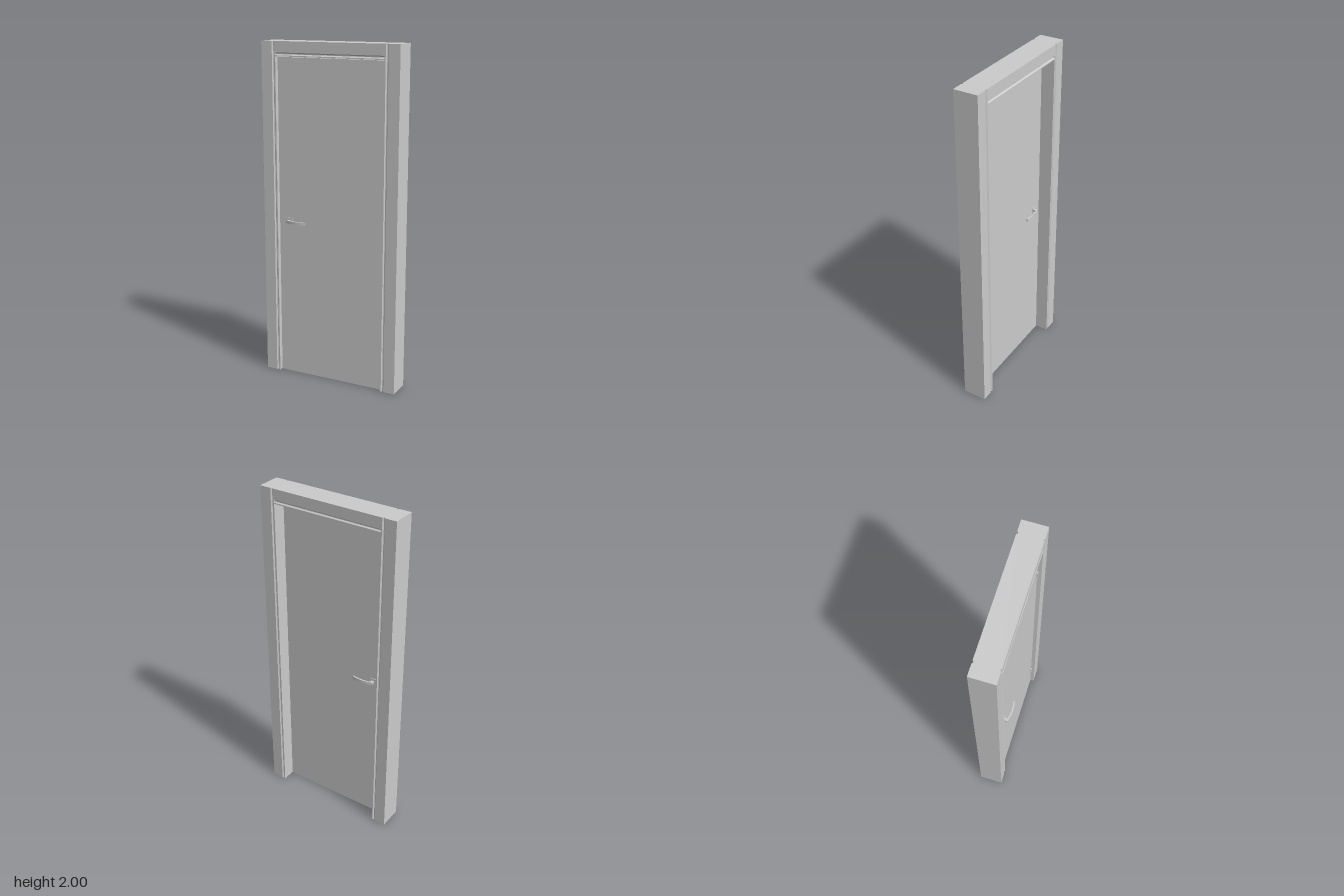
import * as THREE from 'three';

const material = new THREE.MeshStandardMaterial({ color: 0xcccccc });

const FRONT = 0.063, BACK = -0.079;      // frame faces
const OUTER = 0.426, INNER = 0.336;      // frame sides and opening
const HEAD = 1.915;                      // top of the opening
const DOOR_FRONT = 0.04, DOOR_BACK = 0.0;

function add(parent, name, geometry, x = 0, y = 0, z = 0) {
  const mesh = new THREE.Mesh(geometry, material);
  mesh.name = name;
  mesh.position.set(x, y, z);
  parent.add(mesh);
  return mesh;
}

// Profile from u0 to u1 across the frame depth, with a V groove at u = g on both faces
function groovedProfile(u0, u1, g) {
  const w = 0.008, d = 0.007;
  return new THREE.Shape([
    [u0, BACK], [g - w, BACK], [g - 0.002, BACK + d], [g + 0.002, BACK + d], [g + w, BACK], [u1, BACK],
    [u1, FRONT], [g + w, FRONT], [g + 0.002, FRONT - d], [g - 0.002, FRONT - d], [g - w, FRONT], [u0, FRONT],
  ].map(([u, z]) => new THREE.Vector2(u, z)));
}

function extrude(shape, depth) {
  return new THREE.ExtrudeGeometry(shape, { depth, bevelEnabled: false, curveSegments: 12 });
}

// Bowed lever seen from above, with its stem and square plate; z measured from the door face
function createHandle(name) {
  const handle = new THREE.Group();
  handle.name = name;
  const lever = new THREE.Shape();
  lever.moveTo(-0.28, 0.022);
  lever.quadraticCurveTo(-0.212, 0.047, -0.148, 0.029);
  lever.lineTo(-0.15, 0.021);
  lever.quadraticCurveTo(-0.212, 0.037, -0.277, 0.015);
  const leverGeometry = extrude(lever, 0.017);
  leverGeometry.rotateX(Math.PI / 2);
  add(handle, 'lever', leverGeometry, 0, 0.964, 0);
  add(handle, 'leverStem', new THREE.BoxGeometry(0.016, 0.015, 0.02), -0.269, 0.9555, 0.01);
  add(handle, 'handlePlate', new THREE.BoxGeometry(0.042, 0.042, 0.004), -0.272, 0.9555, 0.002);
  return handle;
}

export function createModel() {
  const model = new THREE.Group();
  model.name = 'door';

  // Side posts: grooved profile in plan, raised to full height
  for (const side of [-1, 1]) {
    const [u0, u1] = side > 0 ? [INNER, OUTER] : [-OUTER, -INNER];
    const post = extrude(groovedProfile(u0, u1, side * 0.35), 2);
    post.rotateX(Math.PI / 2);
    add(model, side > 0 ? 'leftPost' : 'rightPost', post, 0, 2, 0);
  }

  // Head rail: the same grooved profile turned to run across
  const rail = extrude(groovedProfile(HEAD, 2, 1.929), INNER * 2);
  rail.applyMatrix4(new THREE.Matrix4().makeBasis(
    new THREE.Vector3(0, 1, 0), new THREE.Vector3(0, 0, 1), new THREE.Vector3(1, 0, 0)));
  add(model, 'headRail', rail, -INNER, 0, 0);

  // Door leaf, set back from both faces of the frame
  const thickness = DOOR_FRONT - DOOR_BACK;
  add(model, 'doorLeaf', new THREE.BoxGeometry(0.668, 1.911, thickness),
    0, 1.911 / 2, DOOR_BACK + thickness / 2);

  // Hinges on the left edge
  for (const y of [0.2, 1.64]) {
    add(model, 'hinge', new THREE.BoxGeometry(0.011, 0.08, 0.012), 0.3305, y, DOOR_FRONT);
  }

  // A handle on each face, the rear one mirrored in depth
  const front = createHandle('frontHandle');
  front.position.z = DOOR_FRONT;
  const back = createHandle('backHandle');
  back.position.z = DOOR_BACK;
  back.scale.z = -1;
  model.add(front, back);

  return model;
}
